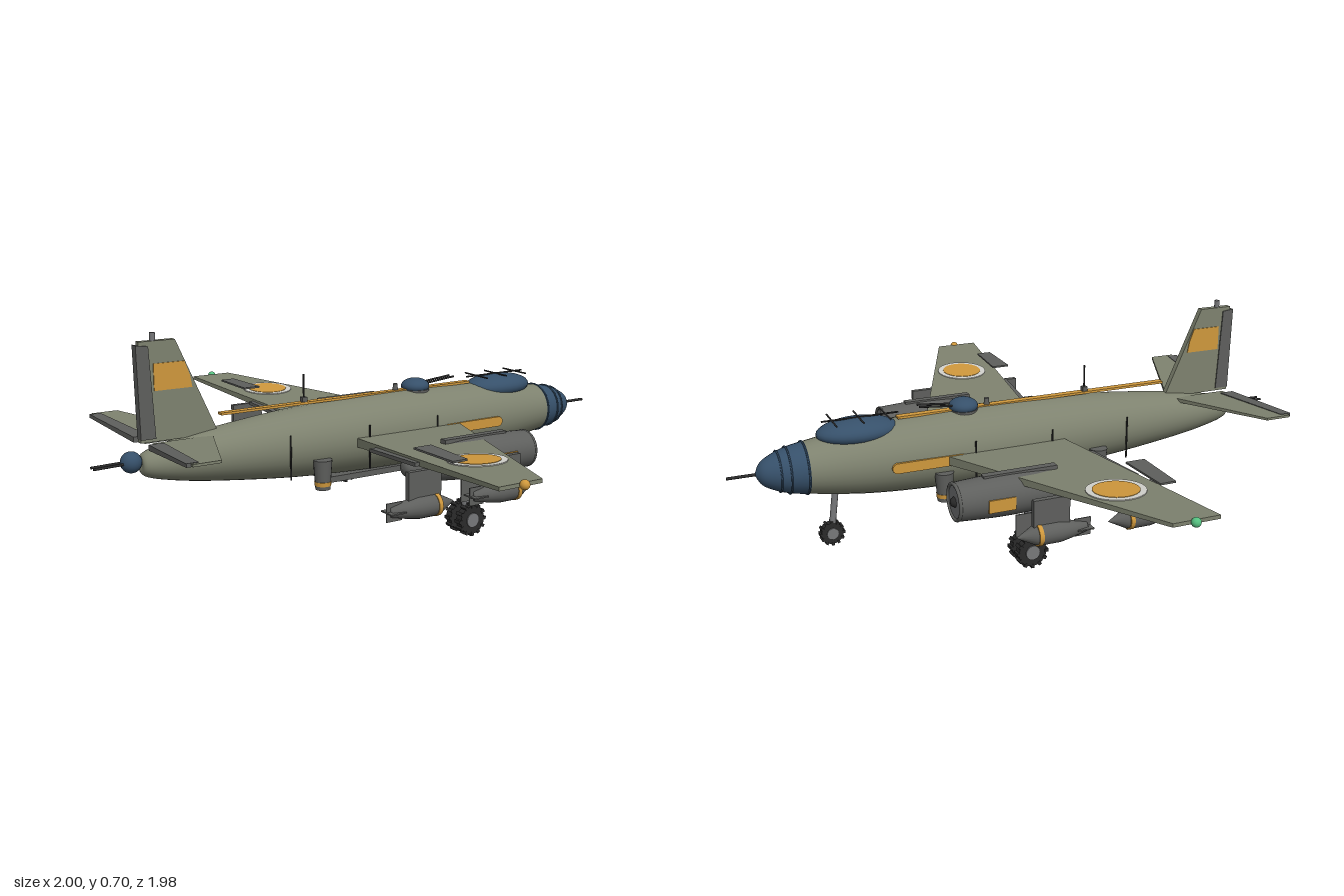
import * as THREE from 'three';

const mat = (name, color, side = THREE.FrontSide) => {
  const m = new THREE.MeshStandardMaterial({ color, side });
  m.name = name;
  return m;
};

export function createModel() {
  const olive = mat('olive paint', 0x7e826f), grey = mat('dark grey metal', 0x5e5f5d);
  const blue = mat('blue glass', 0x36506a), orange = mat('orange paint', 0xcf983c);
  const white = mat('pale ring', 0xd2d2cc), black = mat('black rubber', 0x2b2b2b);
  const green = mat('green lamp', 0x55c080), steel = mat('strut steel', 0x77787a);

  const model = new THREE.Group();
  model.name = 'aircraft';
  const add = (name, geo, m, x = 0, y = 0, z = 0, parent = model) => {
    const mesh = new THREE.Mesh(geo, m);
    mesh.name = name;
    mesh.position.set(x, y, z);
    parent.add(mesh);
    return mesh;
  };
  const box = (w, h, d) => new THREE.BoxGeometry(w, h, d);
  const ball = (r) => new THREE.SphereGeometry(r, 24, 16);
  // Lathe turned so that its axis runs along x; profile points are [x, radius]
  const latheX = (pts, n = 32) =>
    new THREE.LatheGeometry(pts.map(([x, r]) => new THREE.Vector2(r, x)), n).rotateZ(-Math.PI / 2);
  const smoothX = (pts, n = 40) => latheX(
    new THREE.SplineCurve(pts.map(p => new THREE.Vector2(...p))).getPoints(n).map(p => [p.x, Math.max(p.y, 0)]));
  // Straight rod between two points
  const rod = (name, a, b, r, m, parent = model) => {
    const A = new THREE.Vector3(...a), B = new THREE.Vector3(...b), d = B.clone().sub(A);
    const mesh = add(name, new THREE.CylinderGeometry(r, r, d.length(), 10), m, 0, 0, 0, parent);
    mesh.position.copy(A).lerp(B, 0.5);
    mesh.quaternion.setFromUnitVectors(new THREE.Vector3(0, 1, 0), d.normalize());
    return mesh;
  };
  // Tapered slab between a root and a tip section {z, y, t, back, front}, on side s
  const slab = (root, tip, s) => {
    const pos = [];
    const P = [root, tip].flatMap(c => [
      [c.back, c.y - c.t / 2], [c.front, c.y - c.t / 2], [c.front, c.y + c.t / 2], [c.back, c.y + c.t / 2],
    ].map(([x, y]) => [x, y, s * c.z]));
    const quad = (a, b, c, d) => {
      const q = s > 0 ? [a, b, c, a, c, d] : [a, c, b, a, d, c];
      q.forEach(i => pos.push(...P[i]));
    };
    for (let i = 0; i < 4; i++) quad(i, (i + 1) % 4, 4 + (i + 1) % 4, 4 + i);
    quad(3, 2, 1, 0);
    quad(4, 5, 6, 7);
    const g = new THREE.BufferGeometry();
    g.setAttribute('position', new THREE.Float32BufferAttribute(pos, 3));
    g.computeVertexNormals();
    return g;
  };
  // Side-view outline extruded symmetrically about z = 0
  const upright = (pts, t) => new THREE.ExtrudeGeometry(
    new THREE.Shape(pts.map(p => new THREE.Vector2(...p))), { depth: t, bevelEnabled: false }).translate(0, 0, -t / 2);

  // Fuselage and glazed nose
  const CY = 0.29;
  add('fuselage', smoothX([[-0.84, 0], [-0.835, 0.036], [-0.74, 0.063], [-0.58, 0.088], [-0.3, 0.117], [0, 0.13],
    [0.3, 0.129], [0.55, 0.115], [0.755, 0.085]], 48), olive, 0, CY);
  add('noseGlass', smoothX([[0.745, 0.087], [0.8, 0.077], [0.85, 0.06], [0.89, 0.036], [0.91, 0]], 24), blue, 0, CY);
  [[0.75, 0.088], [0.805, 0.078], [0.835, 0.068]].forEach(([x, r]) =>
    add('noseFrame', new THREE.TorusGeometry(r, 0.003, 6, 32).rotateY(Math.PI / 2), blue, x, CY));
  rod('noseGun', [0.88, CY, 0], [1, CY, 0], 0.005, black);

  // Canopy with framing rods
  add('canopy', ball(1).scale(0.14, 0.045, 0.08), blue, 0.565, 0.393);
  rod('canopySpine', [0.425, 0.438, 0], [0.685, 0.438, 0], 0.003, black);
  [0.47, 0.56, 0.65].forEach(x => rod('canopyBow', [x, 0.438, -0.065], [x, 0.438, 0.065], 0.003, black));

  // Spine stripe, aerials and upper turret
  add('spineStripe', box(1, 0.008, 0.026), orange, -0.07, 0.42);
  add('aerialBase', box(0.018, 0.02, 0.018), grey, -0.26, 0.43);
  rod('aerialMast', [-0.26, 0.43, 0], [-0.26, 0.517, 0], 0.003, black);
  add('beacon', new THREE.CylinderGeometry(0.008, 0.01, 0.024, 10), grey, 0.11, 0.434);
  add('upperTurret', ball(0.05).scale(1, 0.56, 1), blue, 0.195, 0.43);
  add('upperTurretRing', new THREE.CylinderGeometry(0.05, 0.05, 0.016, 24), grey, 0.195, 0.412);
  for (const s of [1, -1]) rod('upperGun', [0.21, 0.435, s * 0.013], [0.355, 0.449, s * 0.013], 0.0035, black);

  // Tail turret
  add('tailTurret', ball(0.034), blue, -0.875, 0.303);
  for (const s of [1, -1]) rod('tailGun', [-0.88, 0.303, s * 0.012], [-1, 0.3, s * 0.012], 0.004, black);

  // Fin, rudder and fin marking
  add('fin', upright([[-0.845, 0.36], [-0.58, 0.36], [-0.72, 0.675], [-0.84, 0.675]], 0.022), olive);
  add('rudder', upright([[-0.845, 0.37], [-0.795, 0.37], [-0.81, 0.66], [-0.851, 0.665]], 0.03), grey);
  add('finMarking', upright([[-0.795, 0.52], [-0.668, 0.52], [-0.675, 0.56], [-0.692, 0.605], [-0.795, 0.605]], 0.028), orange);
  add('finLamp', new THREE.CylinderGeometry(0.009, 0.009, 0.03, 12), steel, -0.79, 0.685);

  // Belly bay plate
  add('bellyBay', box(0.4, 0.02, 0.13), grey, 0, 0.158);
  rod('bellySeam', [-0.2, 0.147, 0], [0.2, 0.147, 0], 0.003, black);

  // Treaded wheel
  const wheel = (name, r, w, x, y, z) => {
    const g = new THREE.Group();
    g.name = name;
    g.position.set(x, y, z);
    model.add(g);
    add('tyre', new THREE.CylinderGeometry(r * 0.88, r * 0.88, w, 24).rotateX(Math.PI / 2), black, 0, 0, 0, g);
    add('hub', new THREE.CylinderGeometry(r * 0.45, r * 0.45, w + 0.008, 16).rotateX(Math.PI / 2), steel, 0, 0, 0, g);
    for (let i = 0; i < 12; i++) {
      const a = i * Math.PI / 6;
      add('tread', box(r * 0.2, r * 0.24, w + 0.003), black, -Math.sin(a) * r * 0.88, Math.cos(a) * r * 0.88, 0, g).rotation.z = a;
    }
  };
  rod('noseStrut', [0.65, 0.2, 0], [0.67, 0.045, 0], 0.011, steel);
  wheel('noseWheel', 0.043, 0.024, 0.67, 0.045, 0);

  // Bomb whose nose tip is at the group origin
  const bomb = (x, y, z) => {
    const g = new THREE.Group();
    g.name = 'bomb';
    g.position.set(x, y, z);
    model.add(g);
    add('bombBody', latheX([[-0.235, 0], [-0.235, 0.015], [-0.18, 0.028], [-0.14, 0.035], [-0.085, 0.035],
      [-0.06, 0.031], [0, 0]], 20), grey, 0, 0, 0, g);
    add('bombBand', new THREE.CylinderGeometry(0.0365, 0.0365, 0.014, 20).rotateZ(Math.PI / 2), orange, -0.072, 0, 0, g);
    add('tailFinUpright', box(0.055, 0.058, 0.004), grey, -0.222, 0, 0, g);
    add('tailFinFlat', box(0.055, 0.004, 0.058), grey, -0.222, 0, 0, g);
    add('pylon', box(0.12, 0.09, 0.018), grey, -0.115, 0.07, 0, g);
  };

  for (const s of [1, -1]) {
    // Wing, control surfaces and roundel
    add('wing', slab({ z: 0.05, y: 0.285, t: 0.032, back: -0.12, front: 0.33 },
      { z: 0.97, y: 0.347, t: 0.012, back: -0.215, front: -0.06 }, s), olive);
    add('aileron', slab({ z: 0.55, y: 0.37, t: 0.006, back: -0.2, front: -0.135 },
      { z: 0.745, y: 0.37, t: 0.006, back: -0.2, front: -0.147 }, s), grey);
    add('flap', slab({ z: 0.26, y: 0.298, t: 0.012, back: -0.167, front: -0.12 },
      { z: 0.54, y: 0.315, t: 0.012, back: -0.187, front: -0.15 }, s), grey);
    const roundel = new THREE.Group();
    roundel.name = 'roundel';
    roundel.position.set(-0.045, 0.336, s * 0.66);
    roundel.rotation.x = -s * 0.057;
    model.add(roundel);
    add('roundelRing', new THREE.CylinderGeometry(0.093, 0.093, 0.005, 40), white, 0, 0, 0, roundel);
    add('roundelDisc', new THREE.CylinderGeometry(0.073, 0.073, 0.008, 40), orange, 0, 0, 0, roundel);
    add('tipLamp', ball(0.015), s > 0 ? orange : green, -0.13, 0.348, s * 0.977);

    // Tailplane and elevator
    add('tailplane', slab({ z: 0.03, y: 0.354, t: 0.014, back: -0.815, front: -0.61 },
      { z: 0.4, y: 0.377, t: 0.008, back: -0.85, front: -0.76 }, s), olive);
    add('elevator', slab({ z: 0.06, y: 0.357, t: 0.018, back: -0.84, front: -0.79 },
      { z: 0.385, y: 0.376, t: 0.012, back: -0.863, front: -0.825 }, s), grey);

    // Engine nacelle
    const z = s * 0.39;
    add('nacelle', smoothX([[-0.13, 0], [-0.115, 0.028], [-0.04, 0.05], [0.08, 0.065], [0.22, 0.069], [0.375, 0.062]]), grey, 0, 0.26, z);
    add('intakeLip', new THREE.TorusGeometry(0.058, 0.006, 8, 32).rotateY(Math.PI / 2), grey, 0.373, 0.26, z);
    add('intakeFace', new THREE.CylinderGeometry(0.057, 0.057, 0.01, 32).rotateZ(Math.PI / 2), steel, 0.368, 0.26, z);
    add('intakeHub', latheX([[0, 0.018], [0.012, 0.012], [0.016, 0]], 16), black, 0.372, 0.26, z);
    add('nacelleRidge', box(0.25, 0.02, 0.026), grey, 0.155, 0.324, z);
    add('nacellePanel', box(0.09, 0.042, 0.008), orange, 0.24, 0.254, z + s * 0.067);

    // Main landing gear
    rod('mainStrut', [0.125, 0.22, z], [0.125, 0.06, z], 0.013, steel);
    rod('mainAxle', [0.125, 0.06, z - 0.035], [0.125, 0.06, z + 0.035], 0.008, steel);
    for (const k of [1, -1]) wheel('mainWheel', 0.054, 0.026, 0.125, 0.058, z + k * 0.027);
    add('gearDoor', box(0.14, 0.075, 0.005), grey, 0.125, 0.174, s * 0.455);

    // Bombs in line under the wing
    for (const x of [0.245, -0.065]) bomb(x, 0.193, s * 0.575);

    // Fuselage side stripe, seams and belly pods
    add('sideStripe', box(0.23, 0.035, 0.009), orange, 0.36, CY, s * 0.128);
    add('sideStripeEnd', new THREE.CylinderGeometry(0.0175, 0.0175, 0.009, 20).rotateX(Math.PI / 2), orange, 0.472, CY, s * 0.128);
    [[-0.375, 0.113], [-0.08, 0.129], [0.2, 0.131]].forEach(([x, r]) =>
      rod('hullSeam', [x, 0.195, s * r], [x, 0.345, s * r], 0.003, black));
    for (const x of [-0.26, 0.31]) {
      add('bellyPod', new THREE.CylinderGeometry(0.032, 0.025, 0.1, 18), grey, x, 0.2, s * 0.12);
      add('bellyPodBand', new THREE.CylinderGeometry(0.0285, 0.0275, 0.014, 18), orange, x, 0.17, s * 0.12);
    }
  }
  return model;
}
